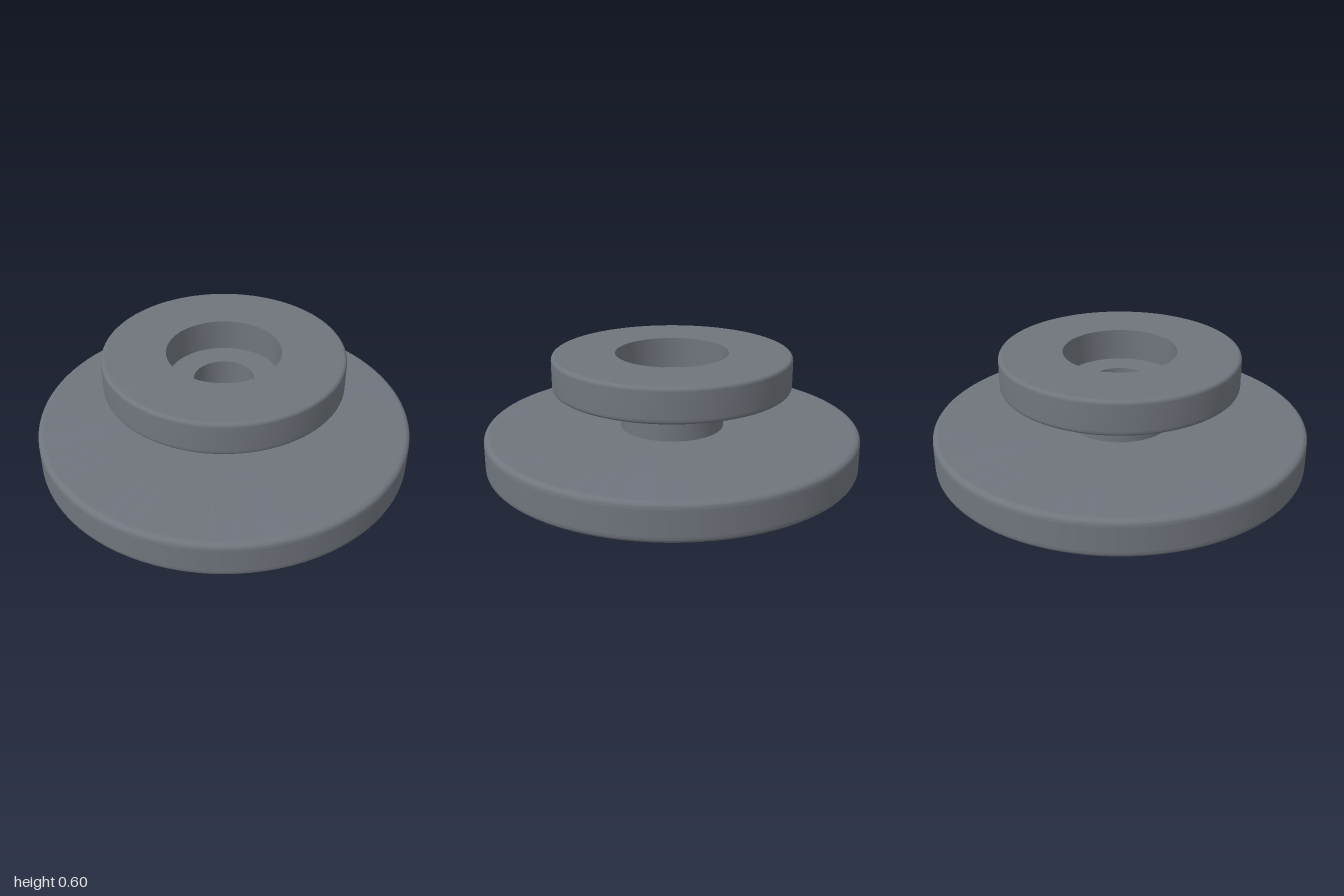
import * as THREE from 'three';
import { toCreasedNormals } from 'three/addons/utils/BufferGeometryUtils.js';

const SEGMENTS = 96;
const BORE = 0.16;    // through hole radius
const NECK = 0.277;   // neck radius
const RECESS = 0.3;   // counterbore radius
const FLOOR = 0.43;   // counterbore floor height

// Outer edge of a disc with filleted corners, listed from bottom to top
function filletedRim(radius, bottom, top, fillet) {
  const points = [];
  const steps = 6, hold = 0.006;
  const arc = (cy, start) => {
    for (let i = 0; i <= steps; i++) {
      const a = start + (i / steps) * Math.PI / 2;
      points.push([radius - fillet + fillet * Math.cos(a), cy + fillet * Math.sin(a)]);
    }
  };
  // the extra hold points keep the flat faces shaded flat
  points.push([radius - fillet - hold, bottom]);
  arc(bottom + fillet, -Math.PI / 2);
  points.push([radius, bottom + fillet + hold], [radius, top - fillet - hold]);
  arc(top - fillet, 0);
  points.push([radius - fillet - hold, top]);
  return points;
}

export function createModel() {
  const group = new THREE.Group();
  const steel = new THREE.MeshStandardMaterial({ color: 0x70757d });
  steel.name = 'grey steel';

  const turned = (name, profile) => {
    const points = profile.map(([r, y]) => new THREE.Vector2(r, y));
    const geometry = toCreasedNormals(new THREE.LatheGeometry(points, SEGMENTS), 0.5);
    const mesh = new THREE.Mesh(geometry, steel);
    mesh.name = name;
    group.add(mesh);
  };

  // Wide lower flange
  turned('baseFlange', [[BORE, 0], ...filletedRim(1, 0, 0.2, 0.03), [NECK, 0.2]]);

  // Neck between the flanges
  turned('neck', [[NECK, 0.2], [NECK, 0.418]]);

  // Upper flange with its counterbored recess
  turned('upperFlange', [
    [NECK, 0.418], ...filletedRim(0.634, 0.418, 0.6, 0.02),
    [RECESS, 0.6], [RECESS, FLOOR], [BORE, FLOOR],
  ]);

  // Wall of the through hole
  turned('bore', [[BORE, FLOOR], [BORE, 0]]);

  return group;
}
